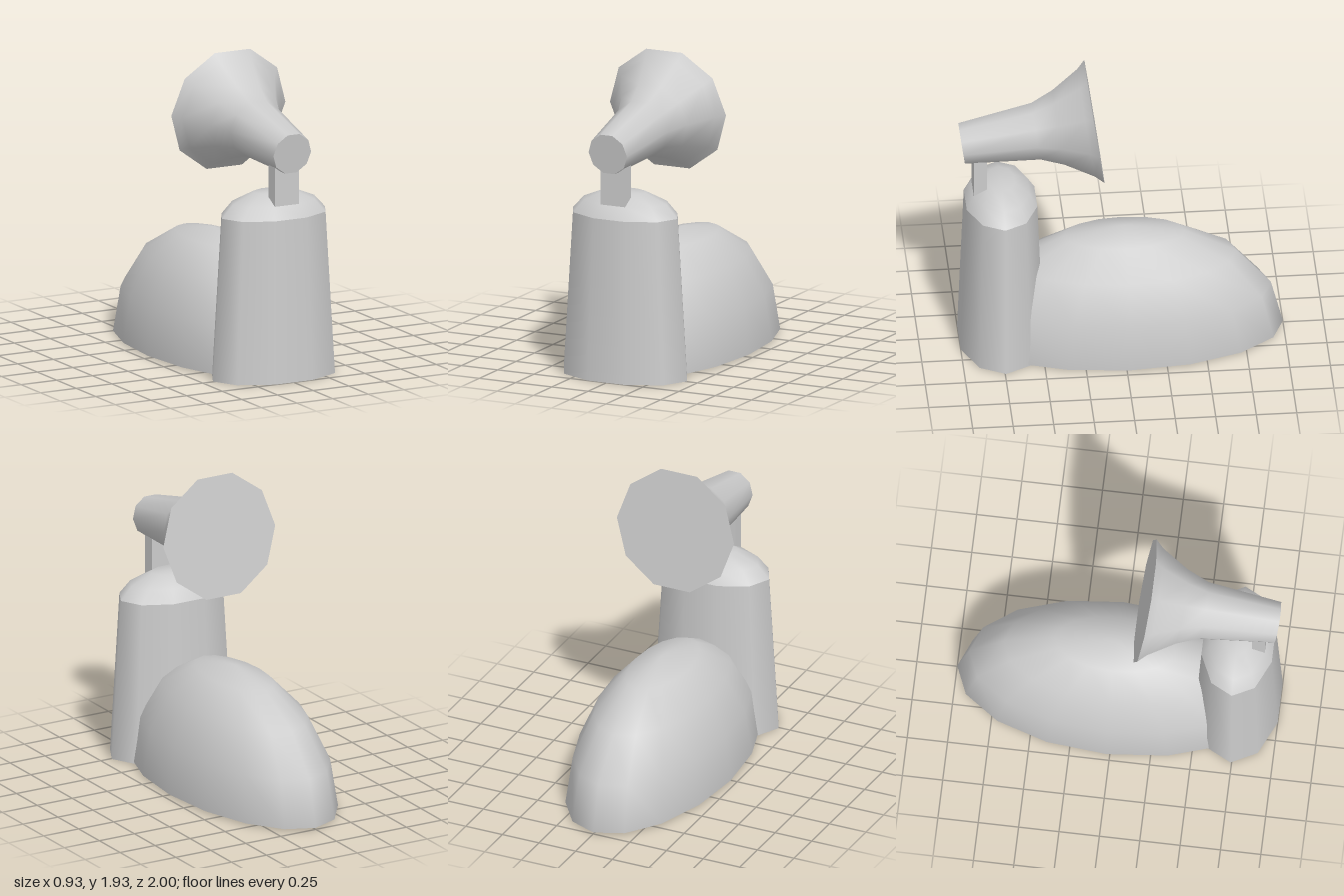
import * as THREE from 'three';
import { mergeGeometries } from 'three/addons/utils/BufferGeometryUtils.js';

const SIDES = 10;

// Smooth ten-sided turned shape; profile is [radius, height] from bottom to top,
// with flat, sharp-edged ends wherever the end radius is not zero.
function turned(profile) {
  const pts = profile.map(([r, y]) => new THREE.Vector2(r, y));
  const parts = [new THREE.LatheGeometry(pts, SIDES, Math.PI / 2)];
  const addEnd = ([r, y], angle) => {
    if (r > 0) parts.push(new THREE.CircleGeometry(r, SIDES).rotateX(angle).translate(0, y, 0));
  };
  addEnd(profile[0], Math.PI / 2);
  addEnd(profile[profile.length - 1], -Math.PI / 2);
  return mergeGeometries(parts);
}

export function createModel() {
  const group = new THREE.Group();
  const grey = new THREE.MeshStandardMaterial({ color: 0xcccccc });
  const greyOpen = new THREE.MeshStandardMaterial({ color: 0xcccccc, side: THREE.DoubleSide });

  const add = (name, geometry, material = grey) => {
    const mesh = new THREE.Mesh(geometry, material);
    mesh.name = name;
    group.add(mesh);
    return mesh;
  };

  // Long hollow half-ellipsoid shell, open underneath
  const shell = add('shell',
    new THREE.SphereGeometry(1, 16, 4, 0, Math.PI * 2, 0, Math.PI / 2), greyOpen);
  shell.scale.set(0.465, 0.765, 0.98);
  shell.position.set(0, 0.01, -0.02);

  // Tapered oval tower and its rounded cap
  const tower = add('tower', turned([[0.425, 0], [0.36, 1.02]]));
  const cap = add('towerCap', turned([[0.36, 1.02], [0.285, 1.1], [0.14, 1.16], [0, 1.16]]));
  for (const part of [tower, cap]) {
    part.scale.z = 0.636;
    part.position.z = 0.743;
  }

  // Flat post carrying the horn
  add('post', new THREE.BoxGeometry(0.17, 0.36, 0.08)).position.set(0, 1.2, 0.875);

  // Flared horn, closed at both ends, rising towards the back
  const horn = add('horn', turned([
    [0.132, 0], [0.184, 0.463], [0.243, 0.604], [0.35, 0.776], [0.4, 0.827],
  ]));
  horn.position.set(0, 1.44, 0.983);
  horn.rotation.x = THREE.MathUtils.degToRad(-82);

  return group;
}
